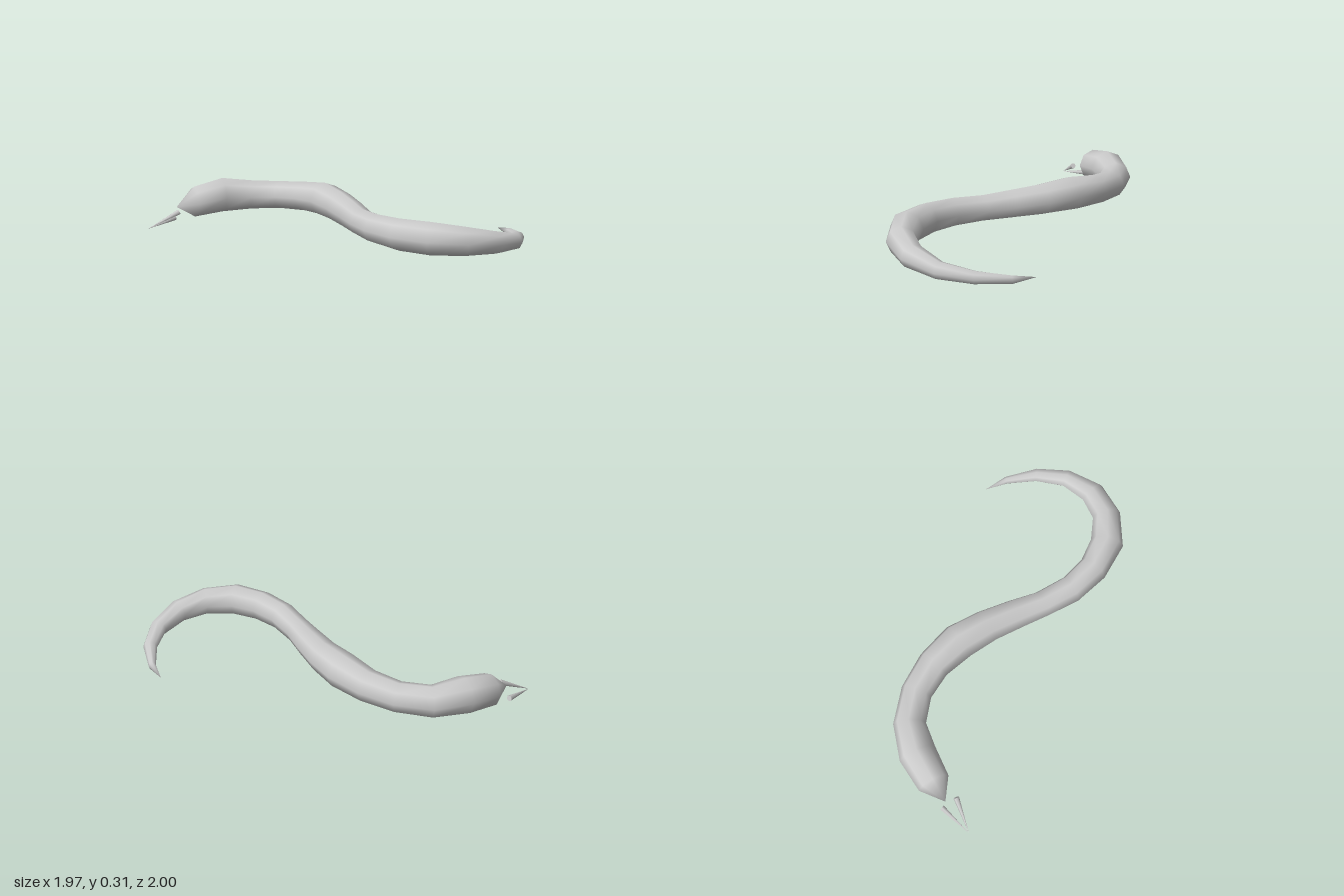
import * as THREE from 'three';

const SIDES = 8;

// Body cross-sections, head to tail: one flank (x, z), other flank (x, z), top y, bottom y
const RINGS = [
  [-0.64, -0.98, -0.64, -0.78, 0.245, 0.04],
  [-0.43, -1.00, -0.45, -0.77, 0.285, 0.055],
  [-0.20, -0.93, -0.29, -0.75, 0.26, 0.065],
  [-0.015, -0.775, -0.165, -0.65, 0.265, 0.08],
  [0.11, -0.58, -0.085, -0.50, 0.285, 0.09],
  [0.185, -0.36, -0.05, -0.31, 0.312, 0.095],
  [0.185, -0.14, -0.03, -0.12, 0.295, 0.098],
  [0.16, 0.07, -0.035, 0.08, 0.28, 0.1],
  [0.13, 0.25, -0.042, 0.26, 0.265, 0.1],
  [0.135, 0.45, -0.045, 0.46, 0.275, 0.095],
  [0.185, 0.61, 0.01, 0.68, 0.285, 0.09],
  [0.28, 0.735, 0.14, 0.89, 0.29, 0.09],
  [0.41, 0.825, 0.36, 0.998, 0.265, 0.09],
  [0.565, 0.84, 0.595, 0.998, 0.22, 0.083],
  [0.73, 0.785, 0.80, 0.88, 0.168, 0.066],
  [0.855, 0.65, 0.93, 0.70, 0.132, 0.056],
  [0.94, 0.48, 0.985, 0.49, 0.1, 0.048],
];
const SNOUT = [-0.77, 0.12, -0.87];
const TAIL_TIP = [0.97, 0.068, 0.335];

// Loft through the rings, closed by a point at each end
function bodyGeometry() {
  const positions = [...SNOUT];
  const index = [];
  for (const [ax, az, bx, bz, top, bottom] of RINGS) {
    for (let j = 0; j < SIDES; j++) {
      const t = (j / SIDES) * Math.PI * 2;
      const c = Math.cos(t) / 2;
      const s = Math.sin(t) / 2;
      positions.push(
        (ax + bx) / 2 + c * (ax - bx),
        (top + bottom) / 2 + s * (top - bottom),
        (az + bz) / 2 + c * (az - bz)
      );
    }
  }
  positions.push(...TAIL_TIP);

  const last = RINGS.length - 1;
  const tail = RINGS.length * SIDES + 1;
  const at = (i, j) => 1 + i * SIDES + (j % SIDES);
  for (let j = 0; j < SIDES; j++) {
    index.push(0, at(0, j + 1), at(0, j));
    for (let i = 0; i < last; i++) {
      index.push(at(i, j), at(i, j + 1), at(i + 1, j));
      index.push(at(i, j + 1), at(i + 1, j + 1), at(i + 1, j));
    }
    index.push(at(last, j), at(last, j + 1), tail);
  }

  const geometry = new THREE.BufferGeometry();
  geometry.setAttribute('position', new THREE.Float32BufferAttribute(positions, 3));
  geometry.setIndex(index);
  geometry.computeVertexNormals();
  return geometry;
}

// Thin cone running from a base centre to a tip
function spike(name, base, tip, radius, material) {
  const axis = tip.clone().sub(base);
  const geometry = new THREE.ConeGeometry(radius, axis.length(), 6);
  const mesh = new THREE.Mesh(geometry, material);
  mesh.name = name;
  mesh.position.copy(base).add(tip).multiplyScalar(0.5);
  mesh.quaternion.setFromUnitVectors(new THREE.Vector3(0, 1, 0), axis.normalize());
  return mesh;
}

export function createModel() {
  const model = new THREE.Group();
  model.name = 'worm';
  const material = new THREE.MeshStandardMaterial({ color: 0xcccccc });

  const body = new THREE.Mesh(bodyGeometry(), material);
  body.name = 'body';
  model.add(body);

  // Pair of mandibles in front of the snout, meeting at one point
  const tip = new THREE.Vector3(-0.985, 0.003, -0.827);
  model.add(spike('upperMandible', new THREE.Vector3(-0.775, 0.103, -0.8), tip, 0.018, material));
  model.add(spike('lowerMandible', new THREE.Vector3(-0.775, 0.042, -0.9), tip, 0.018, material));

  return model;
}
